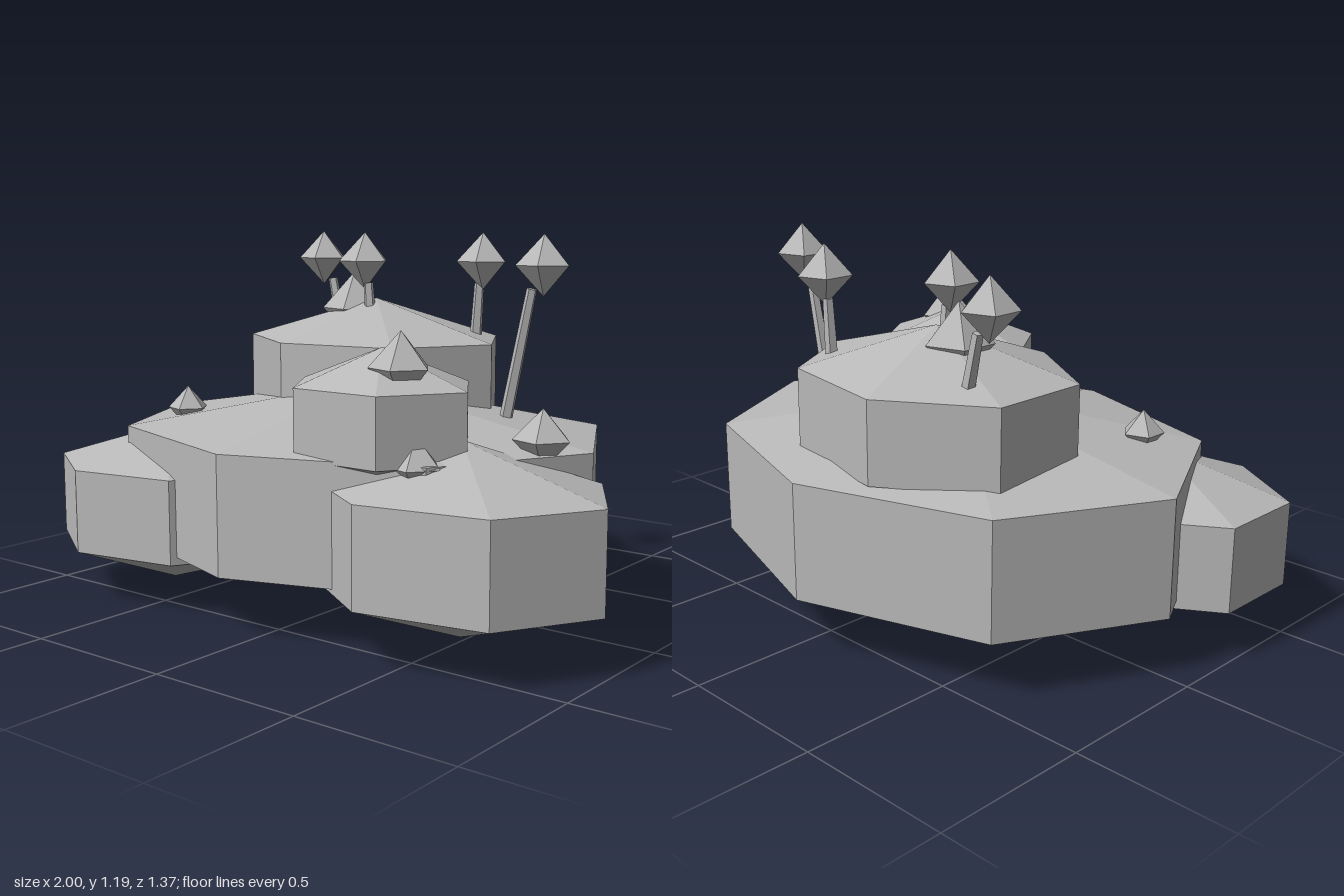
import * as THREE from 'three';

const stone = new THREE.MeshStandardMaterial({ color: 0xb8b8b8 });
stone.name = 'paleGrey';

// Faceted solid of revolution: first corner on +x, radii rx and rz
function faceted(name, profile, sides, rx, rz, x, z) {
  const points = profile.map(([r, y]) => new THREE.Vector2(r, y));
  const lathe = new THREE.LatheGeometry(points, sides, Math.PI / 2);
  lathe.scale(rx, 1, rz);
  const geometry = lathe.toNonIndexed();
  geometry.computeVertexNormals();
  const mesh = new THREE.Mesh(geometry, stone);
  mesh.name = name;
  mesh.position.set(x, 0, z);
  return mesh;
}

// Prism with a shallow cone above and below
function slab(name, sides, x, z, rx, rz, [low, floor, rim, top]) {
  return faceted(name, [[0, low], [1, floor], [1, rim], [0, top]], sides, rx, rz, x, z);
}

// Five-sided double pyramid
function crystal(name, x, y, z, r, h) {
  return faceted(name, [[0, y - h], [1, y], [0, y + h]], 5, r, r, x, z);
}

export function createModel() {
  const model = new THREE.Group();
  model.name = 'floatingRock';

  // Rock masses and terraces
  model.add(
    slab('mainRock', 8, -0.07, 0, 0.857, 0.686, [0, 0.19, 0.56, 0.705]),
    slab('upperTerrace', 7, -0.17, -0.2, 0.471, 0.385, [0.45, 0.575, 0.833, 0.967]),
    slab('frontTerrace', 6, 0.277, 0.345, 0.3, 0.26, [0.45, 0.55, 0.757, 0.867]),
    slab('leftLobe', 7, 0.527, 0.3, 0.47, 0.38, [0.03, 0.175, 0.475, 0.613]),
    slab('rightLobe', 7, -0.615, 0.345, 0.427, 0.345, [0.03, 0.165, 0.435, 0.56]),
  );

  // Crystals half sunk into the rock: x, y, z, radius, height
  const sunk = [
    [-0.265, 0.93, -0.2, 0.11, 0.125],
    [0.385, 0.818, 0.4, 0.095, 0.107],
    [0.675, 0.602, 0.1, 0.09, 0.092],
    [-0.58, 0.61, 0.3, 0.067, 0.072],
    [0.475, 0.55, 0.45, 0.085, 0.09],
  ];
  sunk.forEach(([x, y, z, r, h]) => model.add(crystal('sunkenCrystal', x, y, z, r, h)));

  // Crystals on stems that lean outwards from the middle
  for (const [x, z, foot] of [[-0.53, -0.35, 0.8], [0.165, -0.35, 0.8], [-0.18, -0.15, 0.85], [0.52, -0.15, 0.59]]) {
    const head = new THREE.Group();
    head.name = 'stemmedCrystal';
    head.add(crystal('crystalHead', x, 1.094, z, 0.088, 0.096));
    const top = new THREE.Vector3(x * 0.92, 1.02, z);
    const base = new THREE.Vector3(x * (0.92 - 0.41 * (1.02 - foot)), foot, z);
    const axis = top.clone().sub(base);
    const rod = new THREE.CylinderGeometry(0.017, 0.022, axis.length(), 5).toNonIndexed();
    rod.computeVertexNormals();
    const stem = new THREE.Mesh(rod, stone);
    stem.name = 'stem';
    stem.position.copy(base).add(top).multiplyScalar(0.5);
    stem.quaternion.setFromUnitVectors(new THREE.Vector3(0, 1, 0), axis.normalize());
    head.add(stem);
    model.add(head);
  }
  return model;
}
